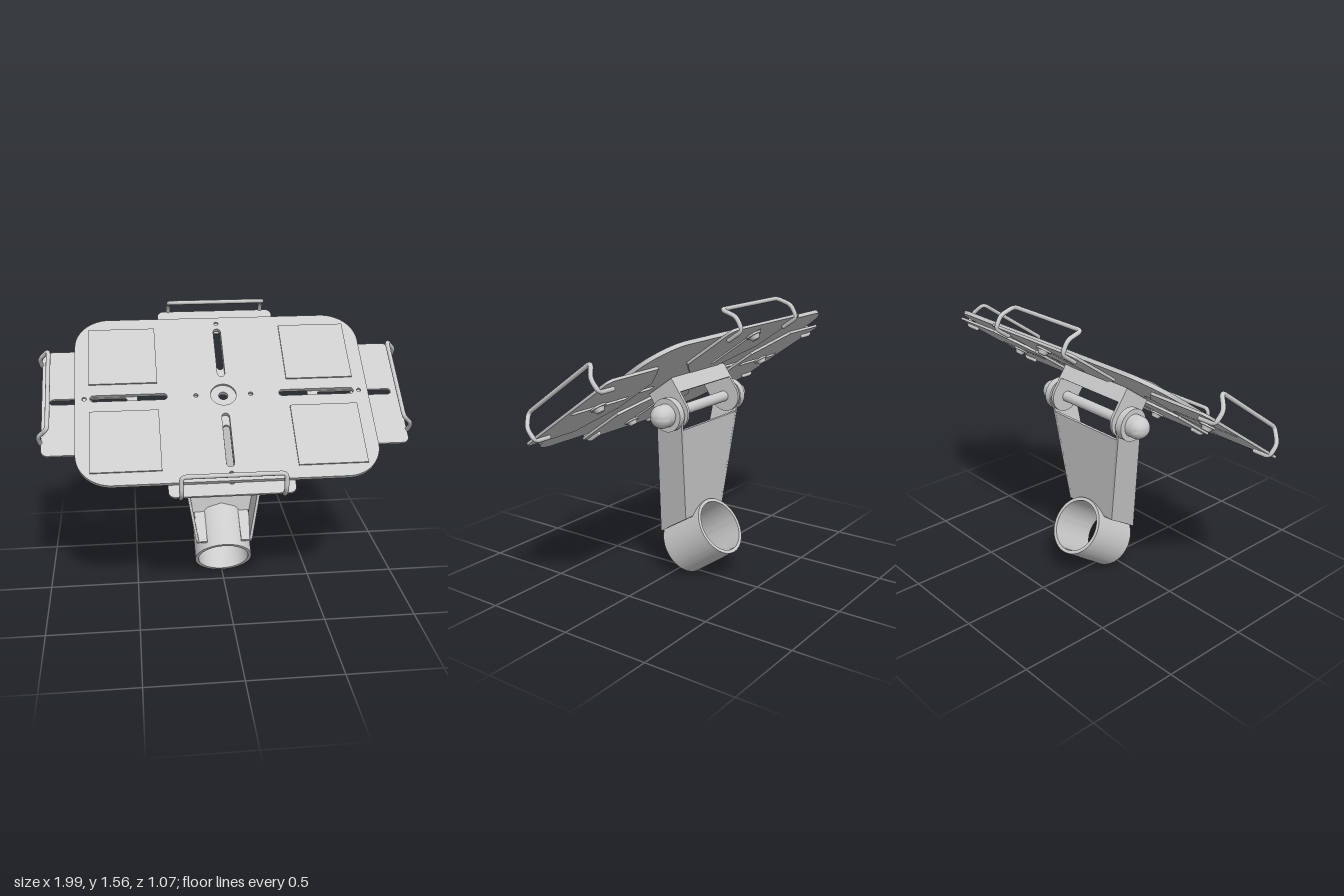
import * as THREE from 'three';
import { toCreasedNormals } from 'three/addons/utils/BufferGeometryUtils.js';

const TILT = 0.62;
const material = new THREE.MeshStandardMaterial({ color: 0xcccccc, side: THREE.DoubleSide });

function add(parent, name, geometry, x = 0, y = 0, z = 0) {
  const mesh = new THREE.Mesh(geometry, material);
  mesh.name = name;
  mesh.position.set(x, y, z);
  parent.add(mesh);
  return mesh;
}

// Closed outline with rounded corners, points given as [x, y, radius]
function outline(points) {
  const shape = new THREE.Shape();
  const n = points.length;
  const vec = (p) => new THREE.Vector2(p[0], p[1]);
  points.forEach((p, i) => {
    const c = vec(p);
    const toward = (q) => c.clone().add(vec(q).sub(c).setLength(p[2] || 1e-4));
    const a = toward(points[(i + n - 1) % n]);
    const b = toward(points[(i + 1) % n]);
    if (i === 0) shape.moveTo(a.x, a.y); else shape.lineTo(a.x, a.y);
    if (p[2]) {
      const k1 = a.clone().lerp(c, 0.55), k2 = b.clone().lerp(c, 0.55);
      shape.bezierCurveTo(k1.x, k1.y, k2.x, k2.y, b.x, b.y);
    }
  });
  shape.closePath();
  return shape;
}

function circleHole(x, y, r) {
  const path = new THREE.Path();
  path.absarc(x, y, r, 0, Math.PI * 2, true);
  return path;
}

// Slot along y from a to b, turned by angle about the origin
function slotHole(a, b, r, angle = 0) {
  const path = new THREE.Path();
  const dx = -Math.sin(angle), dy = Math.cos(angle);
  path.absarc(a * dx, a * dy, r, angle + Math.PI, angle + Math.PI * 2, false);
  path.absarc(b * dx, b * dy, r, angle, angle + Math.PI, false);
  path.closePath();
  return path;
}

// Flat sheet in the xz plane with its top at y = 0
function sheet(shape, depth) {
  const geo = new THREE.ExtrudeGeometry(shape, { depth, bevelEnabled: false, curveSegments: 16 });
  geo.rotateX(Math.PI / 2);
  return toCreasedNormals(geo, 0.6);
}

// Bent wire through points with small rounded corners
function wire(points, radius, bend) {
  const path = new THREE.CurvePath();
  let last = points[0];
  for (let i = 1; i < points.length - 1; i++) {
    const p = points[i];
    const cut = (q) => p.clone().add(q.clone().sub(p).setLength(bend));
    const a = cut(points[i - 1]), b = cut(points[i + 1]);
    path.add(new THREE.LineCurve3(last, a));
    path.add(new THREE.QuadraticBezierCurve3(a, p, b));
    last = b;
  }
  path.add(new THREE.LineCurve3(last, points[points.length - 1]));
  return new THREE.TubeGeometry(path, 150, radius, 10, false);
}

// Sliding sheet with wire retainer and screw, pointing along +z
function slider(name, o) {
  const g = new THREE.Group();
  g.name = name;
  const { outer, inner, half, grip, slot, screw } = o;
  const shape = outline([
    [half, outer, 0.035], [-half, outer, 0.035], [-half, inner + 0.16, 0],
    [-half + 0.2, inner, 0], [half - 0.2, inner, 0], [half, inner + 0.16, 0],
  ]);
  shape.holes.push(slotHole(slot[0], slot[1], 0.018));
  add(g, 'slidingSheet', sheet(shape, 0.014), 0, -0.021, 0);

  const profile = [[-0.09, -0.043], [0.002, -0.043], [0.012, 0.03], [-0.043, 0.103]];
  const side = (s) => profile.map(([d, y]) => new THREE.Vector3(s * grip, y, outer + d));
  const points = [...side(-1), ...side(1).reverse()];
  add(g, 'wireRetainer', wire(points, 0.012, 0.028));
  for (const s of [-1, 1]) {
    add(g, 'wireEnd', new THREE.SphereGeometry(0.012, 10, 8), s * grip, -0.043, outer - 0.09);
  }

  add(g, 'screwWasher', new THREE.CylinderGeometry(0.042, 0.042, 0.01, 24), 0, -0.04, screw);
  add(g, 'screwHead', new THREE.CylinderGeometry(0.032, 0.02, 0.022, 20), 0, -0.055, screw);
  add(g, 'screwShaft', new THREE.CylinderGeometry(0.01, 0.01, 0.05, 12), 0, -0.033, screw);
  return g;
}

function buildTray() {
  const tray = new THREE.Group();
  tray.name = 'tray';

  // Main plate with slots and holes
  const plate = outline([[0.8, 0.545, 0.19], [-0.8, 0.545, 0.19], [-0.8, -0.545, 0.19], [0.8, -0.545, 0.19]]);
  plate.holes.push(circleHole(0, 0, 0.07));
  for (const s of [-1, 1]) {
    plate.holes.push(slotHole(0.325, 0.7, 0.02, s * Math.PI / 2));
    plate.holes.push(slotHole(0.145, 0.44, 0.021, s > 0 ? 0 : Math.PI));
    plate.holes.push(circleHole(s * 0.15, 0, 0.012), circleHole(s * 0.75, 0, 0.012), circleHole(0, s * 0.5, 0.012));
  }
  add(tray, 'plate', sheet(plate, 0.021));

  // Recessed centre hub
  const hub = new THREE.Shape();
  hub.absarc(0, 0, 0.072, 0, Math.PI * 2, false);
  hub.holes.push(circleHole(0, 0, 0.025));
  add(tray, 'centreHub', sheet(hub, 0.012), 0, -0.012, 0);

  // Grip pads
  for (const x of [-0.54, 0.54]) for (const z of [-0.28, 0.28]) {
    add(tray, 'gripPad', new THREE.BoxGeometry(0.37, 0.008, 0.38), x, 0.004, z);
  }

  // Four adjustable retainers
  const ends = { outer: 0.617, inner: 0.125, half: 0.33, grip: 0.267, slot: [0.205, 0.535], screw: 0.5 };
  const sides = { outer: 0.976, inner: 0.466, half: 0.34, grip: 0.255, slot: [0.54, 0.915], screw: 0.75 };
  [['front', ends], ['left', sides], ['back', ends], ['right', sides]].forEach(([name, o], i) => {
    const s = slider(name + 'Retainer', o);
    s.rotation.y = i * Math.PI / 2;
    tray.add(s);
  });

  // Pivot head under the plate
  const base = outline([[0.24, 0.09, 0], [-0.24, 0.09, 0], [-0.24, -0.09, 0], [0.24, -0.09, 0]]);
  base.holes.push(circleHole(0, 0, 0.025));
  add(tray, 'headBase', sheet(base, 0.015), 0, -0.022, 0);
  add(tray, 'headRearWall', new THREE.BoxGeometry(0.48, 0.085, 0.012), 0, -0.065, -0.084);
  const ear = new THREE.Shape();
  ear.moveTo(0.09, -0.024);
  ear.lineTo(-0.09, -0.024);
  ear.lineTo(-0.09, -0.18);
  ear.absarc(0, -0.18, 0.09, Math.PI, Math.PI * 2, false);
  ear.closePath();
  const earGeo = new THREE.ExtrudeGeometry(ear, { depth: 0.016, bevelEnabled: false, curveSegments: 24 });
  earGeo.rotateY(-Math.PI / 2);
  for (const s of [-1, 1]) add(tray, 'headEar', toCreasedNormals(earGeo, 0.6), s * 0.24 + 0.008, 0, 0);

  tray.rotation.x = TILT;
  tray.position.set(0, 1.135, -0.013);
  return tray;
}

function buildArm() {
  const arm = new THREE.Group();
  arm.name = 'arm';
  const halfWidth = (y) => 0.155 + 0.167 * (y - 0.28);

  // Side flanges, spreading toward the top
  const flange = new THREE.Shape();
  flange.moveTo(0.04, 0.26);
  flange.lineTo(-0.024, 0.94);
  flange.absarc(-0.112, 0.983, 0.088, 0, Math.PI, false);
  flange.lineTo(-0.182, 0.92);
  flange.lineTo(-0.145, 0.375);
  flange.closePath();
  for (const s of [-1, 1]) {
    const geo = new THREE.ExtrudeGeometry(flange, { depth: 0.016, bevelEnabled: false, curveSegments: 24 });
    geo.rotateY(-Math.PI / 2);
    const p = geo.attributes.position;
    for (let i = 0; i < p.count; i++) p.setX(i, p.getX(i) + 0.008 + s * halfWidth(p.getY(i)));
    add(arm, 'armFlange', toCreasedNormals(geo, 0.6));
  }

  // Back wall, notched over the clamp tube
  const w0 = halfWidth(0.375), w1 = halfWidth(0.9);
  const wall = outline([[-w0, 0.375], [-0.11, 0.375], [-0.08, 0.405], [0, 0.428], [0.08, 0.405],
    [0.11, 0.375], [w0, 0.375], [w1, 0.9], [-w1, 0.9]]);
  const wallGeo = new THREE.ExtrudeGeometry(wall, { depth: 0.016, bevelEnabled: false });
  const q = wallGeo.attributes.position;
  for (let i = 0; i < q.count; i++) q.setZ(i, q.getZ(i) - 0.145 - 0.067 * (q.getY(i) - 0.375));
  wallGeo.computeVertexNormals();
  add(arm, 'armBackWall', wallGeo);

  // Floor strips beside the tube
  for (const s of [-1, 1]) {
    add(arm, 'armFloor', new THREE.BoxGeometry(0.06, 0.014, 0.215), s * 0.128, 0.322, -0.052).rotation.x = 0.556;
  }

  // Pivot bolt with collars and domed nuts
  add(arm, 'pivotBolt', new THREE.CylinderGeometry(0.03, 0.03, 0.54, 20), 0, 0.983, -0.112).rotation.z = Math.PI / 2;
  const profile = [[0, 0], [0.09, 0], [0.09, 0.04], [0.062, 0.04], [0.062, 0.075]];
  for (let i = 1; i <= 8; i++) {
    const a = i * Math.PI / 16;
    profile.push([0.062 * Math.cos(a), 0.075 + 0.062 * Math.sin(a)]);
  }
  const nut = toCreasedNormals(new THREE.LatheGeometry(profile.map((p) => new THREE.Vector2(...p)), 36), 0.6);
  for (const s of [-1, 1]) add(arm, 'domedNut', nut, s * 0.27, 0.983, -0.112).rotation.z = -s * Math.PI / 2;
  return arm;
}

export function createModel() {
  const model = new THREE.Group();
  model.name = 'trayMount';
  model.add(buildTray(), buildArm());

  // Clamp tube, parallel to the tray
  const ring = new THREE.Shape();
  ring.absarc(0, 0, 0.164, 0, Math.PI * 2, false);
  ring.holes.push(circleHole(0, 0, 0.145));
  const tube = new THREE.ExtrudeGeometry(ring, { depth: 0.296, bevelEnabled: false, curveSegments: 48 });
  tube.translate(0, 0, -0.148);
  add(model, 'clampTube', toCreasedNormals(tube, 0.6), 0, 0.22, -0.132).rotation.x = TILT;
  return model;
}
